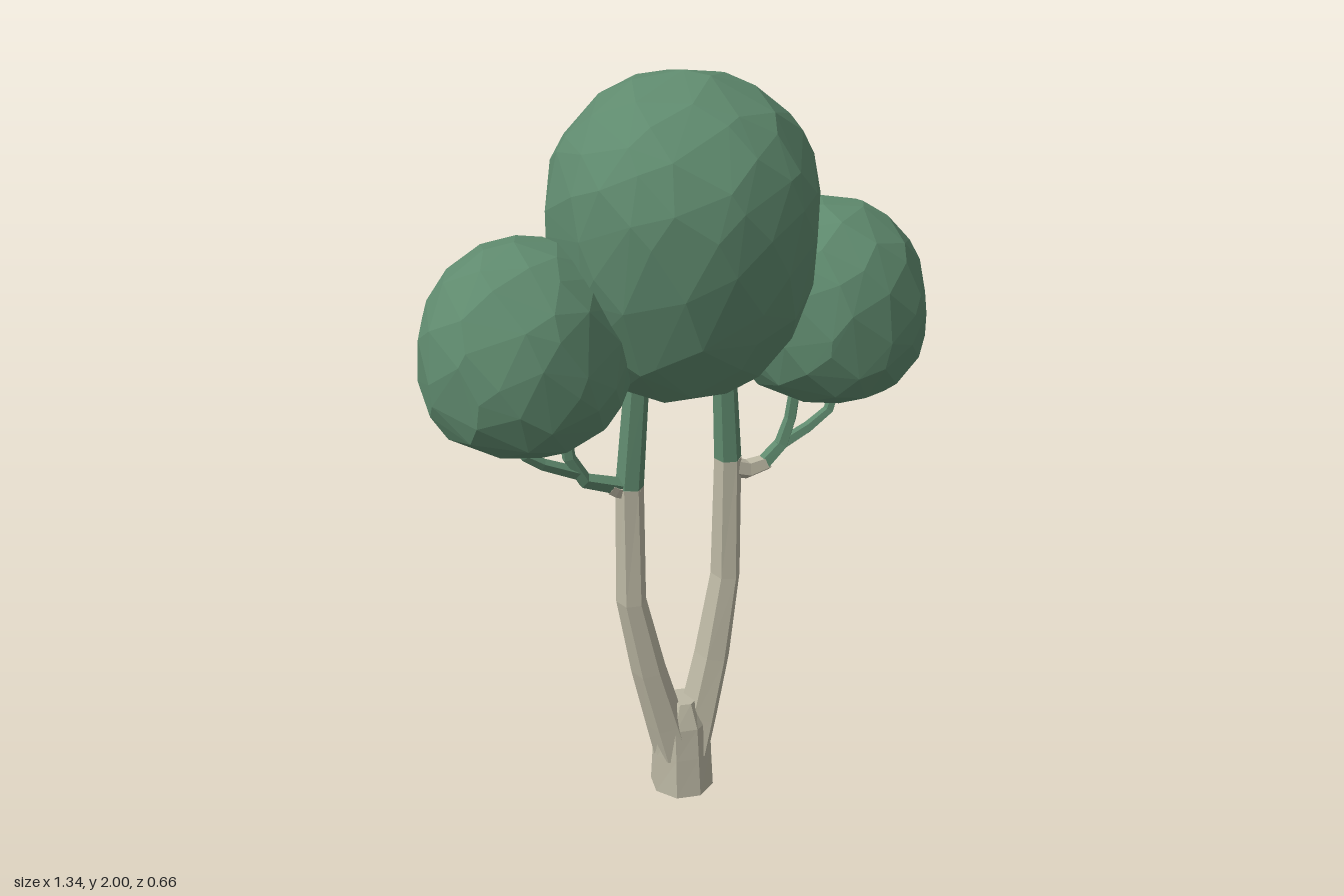
import * as THREE from 'three';
import { ConvexGeometry } from 'three/addons/geometries/ConvexGeometry.js';

const leafGreen = new THREE.MeshStandardMaterial({ color: 0x5f8a6e, flatShading: true });
leafGreen.name = 'leafGreen';
const paleBark = new THREE.MeshStandardMaterial({ color: 0xbcb8a4, flatShading: true });
paleBark.name = 'paleBark';

function seeded(seed) {
  return () => {
    seed = (seed * 16807) % 2147483647;
    return seed / 2147483647;
  };
}

// Faceted limb through rows of [x, y, z, radius, depthRadius?]
function limbGeometry(rows, sides) {
  const centres = rows.map((r) => new THREE.Vector3(r[0], r[1], r[2]));
  const rings = rows.map((row, k) => {
    const t = centres[Math.min(k + 1, rows.length - 1)].clone()
      .sub(centres[Math.max(k - 1, 0)]).normalize();
    const v = t.clone().cross(new THREE.Vector3(0, 0, 1)).normalize();
    const u = v.clone().cross(t);
    return Array.from({ length: sides }, (_, i) => {
      const a = ((i + 0.25) / sides) * Math.PI * 2;
      return centres[k].clone()
        .addScaledVector(u, Math.cos(a) * (row[4] ?? row[3]))
        .addScaledVector(v, Math.sin(a) * row[3]);
    });
  });
  const points = [];
  const last = rows.length - 1;
  for (let i = 0; i < sides; i++) {
    const j = (i + 1) % sides;
    for (let k = 0; k < last; k++) {
      const [a, b] = [rings[k], rings[k + 1]];
      points.push(a[i], a[j], b[j], a[i], b[j], b[i]);
    }
    points.push(centres[0], rings[0][j], rings[0][i]);
    points.push(centres[last], rings[last][i], rings[last][j]);
  }
  const geometry = new THREE.BufferGeometry().setFromPoints(points);
  geometry.computeVertexNormals();
  return geometry;
}

// Irregular faceted crown: scattered points on a rounded egg, wrapped by a hull
function crownGeometry({ centre, half, up, down, lowerPower, count, seed }) {
  const random = seeded(seed);
  const points = [];
  for (let i = 0; i < count; i++) {
    const y = THREE.MathUtils.clamp(1 - (2 * (i + 0.5)) / count + (random() - 0.5) * 0.1, -1, 1);
    const angle = i * 2.39996 + (random() - 0.5) * 0.3;
    const r = Math.sqrt(1 - y * y);
    const d = new THREE.Vector3(r * Math.cos(angle), y, r * Math.sin(angle));
    const p = y > 0 ? 2.05 : lowerPower;
    const norm = (r ** p + Math.abs(y) ** p) ** (1 / p);
    d.divideScalar(norm);
    d.multiply(new THREE.Vector3(half[0], y > 0 ? up : down, half[1]));
    points.push(d);
  }
  // Stretch to the exact extents
  const box = new THREE.Box3().setFromPoints(points);
  const size = box.getSize(new THREE.Vector3());
  const mid = box.getCenter(new THREE.Vector3());
  const scale = new THREE.Vector3(2 * half[0], up + down, 2 * half[1]).divide(size);
  const target = new THREE.Vector3(centre[0], centre[1] + (up - down) / 2, centre[2]);
  points.forEach((q) => q.sub(mid).multiply(scale).add(target));
  return new ConvexGeometry(points);
}

export function createModel() {
  const tree = new THREE.Group();
  tree.name = 'tree';
  const add = (name, geometry, material) => {
    const mesh = new THREE.Mesh(geometry, material);
    mesh.name = name;
    tree.add(mesh);
  };
  const limb = (name, rows, material, sides = 6) => add(name, limbGeometry(rows, sides), material);

  // Trunk foot
  limb('trunkBase', [
    [0, 0.005, 0, 0.088, 0.09],
    [0, 0.12, 0, 0.083, 0.08],
    [0, 0.21, 0, 0.082, 0.07],
    [0, 0.28, 0, 0.04, 0.045],
  ], paleBark, 8);

  // Twin stems, pale below and green near the crown
  limb('rightStem', [
    [-0.025, 0.12, 0, 0.055, 0.07],
    [-0.052, 0.22, 0, 0.052, 0.064],
    [-0.1, 0.4, 0, 0.046, 0.056],
    [-0.147, 0.62, 0, 0.039, 0.048],
    [-0.147, 0.95, 0, 0.037, 0.038],
  ], paleBark);
  limb('rightStemTop', [
    [-0.147, 0.95, 0, 0.037, 0.038],
    [-0.125, 1.22, 0, 0.032, 0.034],
    [-0.12, 1.35, 0, 0.025],
  ], leafGreen);
  limb('leftStem', [
    [0.025, 0.12, 0, 0.055, 0.07],
    [0.05, 0.22, 0, 0.052, 0.064],
    [0.09, 0.4, 0, 0.048, 0.056],
    [0.128, 0.64, 0, 0.039, 0.048],
    [0.132, 0.98, 0, 0.036, 0.038],
  ], paleBark);
  limb('leftStemTop', [
    [0.132, 0.98, 0, 0.036, 0.038],
    [0.12, 1.22, 0, 0.031, 0.034],
    [0.12, 1.35, 0, 0.025],
  ], leafGreen);

  // Side branches: pale stub, green bough, forked twig
  limb('rightBranchStub', [
    [-0.13, 0.935, 0, 0.03],
    [-0.185, 0.95, 0, 0.023],
    [-0.2, 0.96, 0, 0.022],
  ], paleBark, 5);
  limb('rightBough', [
    [-0.17, 0.955, 0, 0.024],
    [-0.27, 0.99, 0, 0.021],
    [-0.31, 1.06, 0, 0.018],
    [-0.325, 1.2, 0, 0.015],
  ], leafGreen, 5);
  limb('rightTwig', [
    [-0.28, 1.01, 0, 0.018],
    [-0.38, 1.055, 0, 0.016],
    [-0.425, 1.085, 0, 0.015],
    [-0.47, 1.2, 0, 0.013],
  ], leafGreen, 5);
  limb('leftBranchStub', [
    [0.13, 0.955, 0, 0.028],
    [0.19, 0.935, 0, 0.027],
    [0.25, 0.945, 0, 0.022],
  ], paleBark, 5);
  limb('leftBough', [
    [0.235, 0.94, 0, 0.022],
    [0.29, 0.99, 0, 0.02],
    [0.315, 1.06, 0, 0.017],
    [0.335, 1.2, 0, 0.015],
  ], leafGreen, 5);
  limb('leftTwig', [
    [0.28, 0.985, 0, 0.018],
    [0.37, 1.025, 0, 0.016],
    [0.43, 1.065, 0, 0.015],
    [0.47, 1.2, 0, 0.013],
  ], leafGreen, 5);

  // Crowns
  add('middleCrown', crownGeometry({
    centre: [0.003, 1.67, 0], half: [0.338, 0.33],
    up: 0.33, down: 0.49, lowerPower: 2.3, count: 130, seed: 17,
  }), leafGreen);
  add('rightCrown', crownGeometry({
    centre: [-0.415, 1.35, 0], half: [0.257, 0.25],
    up: 0.29, down: 0.225, lowerPower: 2.8, count: 100, seed: 91,
  }), leafGreen);
  add('leftCrown', crownGeometry({
    centre: [0.415, 1.35, 0], half: [0.257, 0.25],
    up: 0.29, down: 0.225, lowerPower: 2.8, count: 100, seed: 333,
  }), leafGreen);

  return tree;
}
